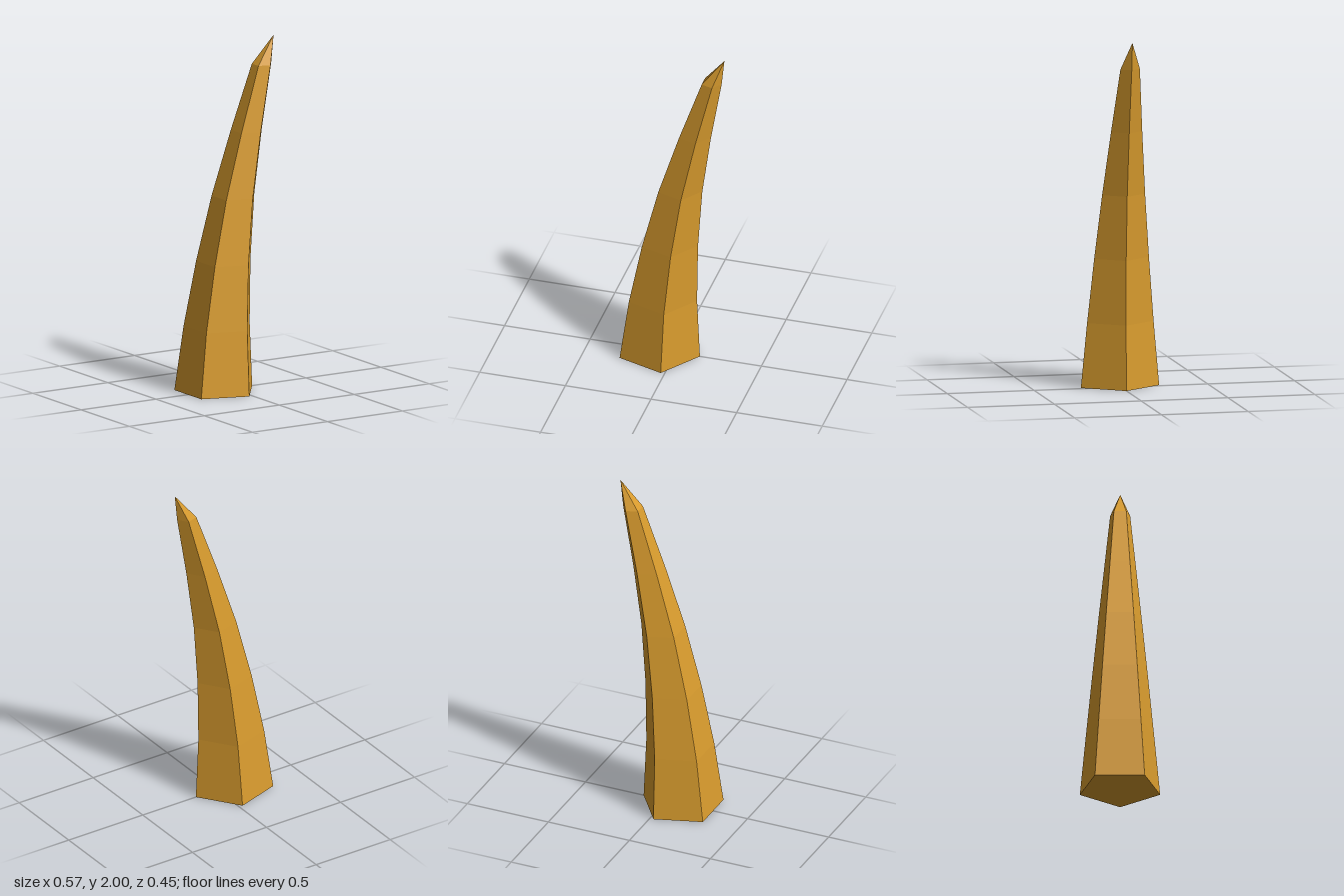
import * as THREE from 'three';

const SIDES = 5;
const BASE_RADIUS = 0.237;
const TOP_RADIUS = 0.059;
const SHAFT_HEIGHT = 1.842;
const TIP_X = 0.284;
// Sideways offset of each pentagonal ring, from base to shoulder
const RING_X = [-0.096, -0.077, -0.036, 0.025, 0.111, 0.209];

// Shift every vertex sideways by a rule of its height, then facet the surface
function bend(geometry, offsetAt) {
  const p = geometry.attributes.position;
  for (let i = 0; i < p.count; i++) p.setX(i, p.getX(i) + offsetAt(p.getY(i)));
  const faceted = geometry.toNonIndexed();
  faceted.computeVertexNormals();
  return faceted;
}

export function createModel() {
  const group = new THREE.Group();
  group.name = 'horn';
  const ochre = new THREE.MeshStandardMaterial({ color: 0xd99c2e });
  ochre.name = 'ochre';

  // Curved, tapering five-sided shaft
  const rows = RING_X.length - 1;
  const shaftGeometry = new THREE.CylinderGeometry(
    TOP_RADIUS, BASE_RADIUS, SHAFT_HEIGHT, SIDES, rows, false, Math.PI / 2);
  shaftGeometry.translate(0, SHAFT_HEIGHT / 2, 0);
  const shaft = new THREE.Mesh(
    bend(shaftGeometry, (y) => RING_X[Math.round((y / SHAFT_HEIGHT) * rows)]), ochre);
  shaft.name = 'shaft';

  // Short point leaning on from the last ring
  const tipHeight = 2 - SHAFT_HEIGHT;
  const tipGeometry = new THREE.ConeGeometry(
    TOP_RADIUS, tipHeight, SIDES, 1, true, Math.PI / 2);
  tipGeometry.translate(0, SHAFT_HEIGHT + tipHeight / 2, 0);
  const tip = new THREE.Mesh(
    bend(tipGeometry, (y) => THREE.MathUtils.mapLinear(y, SHAFT_HEIGHT, 2, RING_X[rows], TIP_X)), ochre);
  tip.name = 'tip';

  group.add(shaft, tip);
  return group;
}
